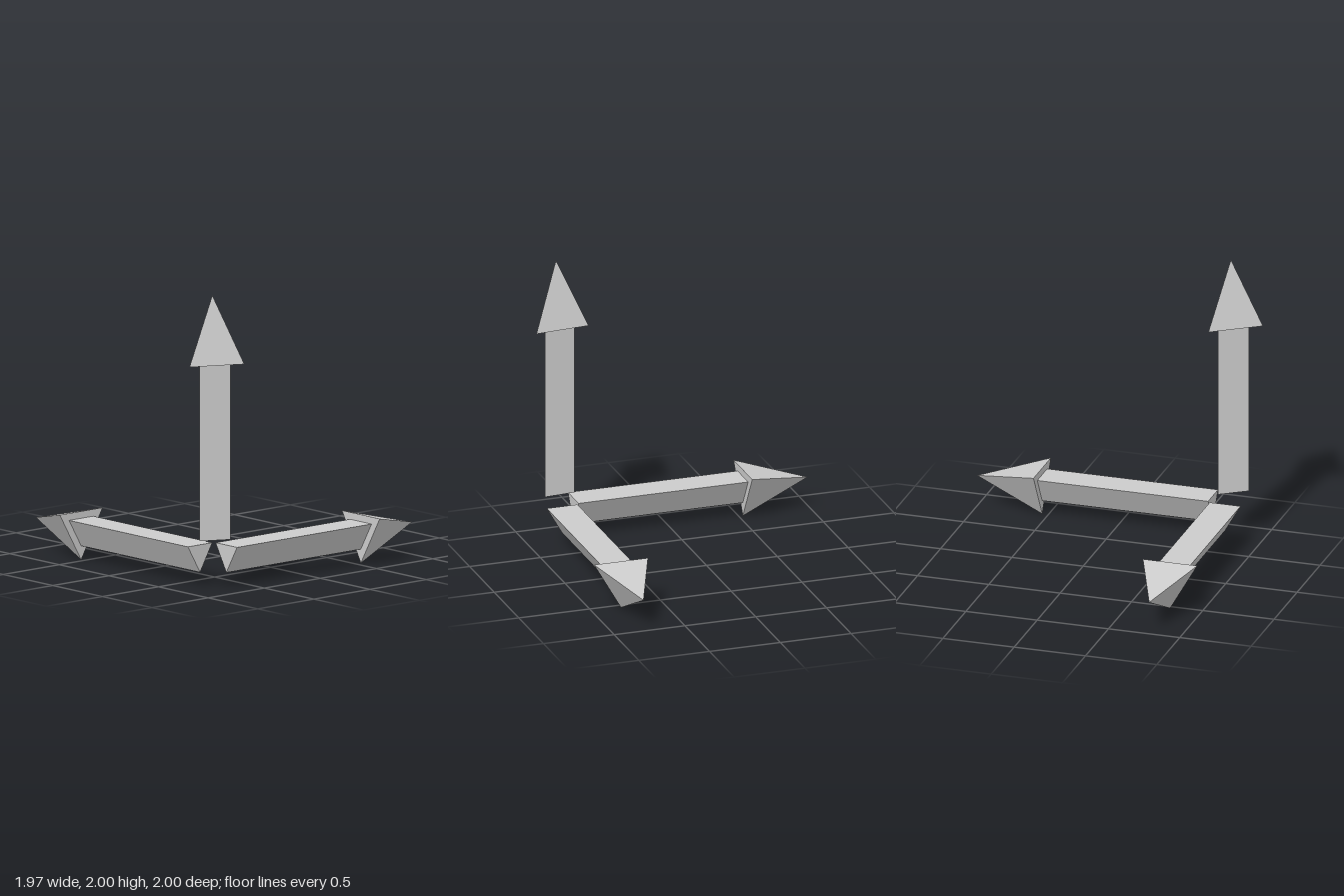
import * as THREE from 'three';

const SHAFT_LENGTH = 1.198;
const HEAD_LENGTH = 0.457;
const SHAFT_RADIUS = 0.125;
const HEAD_RADIUS = 0.22;

// Three-sided arrow along local +y, its tail at the origin; roll turns the triangle about y
function createArrow(name, material, roll) {
  const arrow = new THREE.Group();
  arrow.name = name;

  const shaft = new THREE.Mesh(
    new THREE.CylinderGeometry(SHAFT_RADIUS, SHAFT_RADIUS, SHAFT_LENGTH, 3, 1, false, roll), material);
  shaft.name = name + 'Shaft';
  shaft.position.y = SHAFT_LENGTH / 2;

  const head = new THREE.Mesh(
    new THREE.ConeGeometry(HEAD_RADIUS, HEAD_LENGTH, 3, 1, false, roll), material);
  head.name = name + 'Head';
  head.position.y = SHAFT_LENGTH + HEAD_LENGTH / 2;

  arrow.add(shaft, head);
  return arrow;
}

export function createModel() {
  const model = new THREE.Group();
  model.name = 'axisArrows';
  const material = new THREE.MeshStandardMaterial({ color: 0xcccccc, flatShading: true });

  // Upright arrow, rolled slightly off the front axis
  const up = createArrow('upArrow', material, 0.083);
  up.position.set(0.793, 0.345, 0.78);

  // Arrow towards the back, lower edge down
  const back = createArrow('backArrow', material, Math.PI);
  back.rotation.x = -Math.PI / 2;
  back.position.set(0.793, 0.222, 0.655);

  // Arrow towards the model's right, lower edge down
  const right = createArrow('rightArrow', material, -Math.PI / 2);
  right.rotation.z = Math.PI / 2;
  right.position.set(0.67, 0.222, 0.78);

  model.add(up, back, right);
  return model;
}
